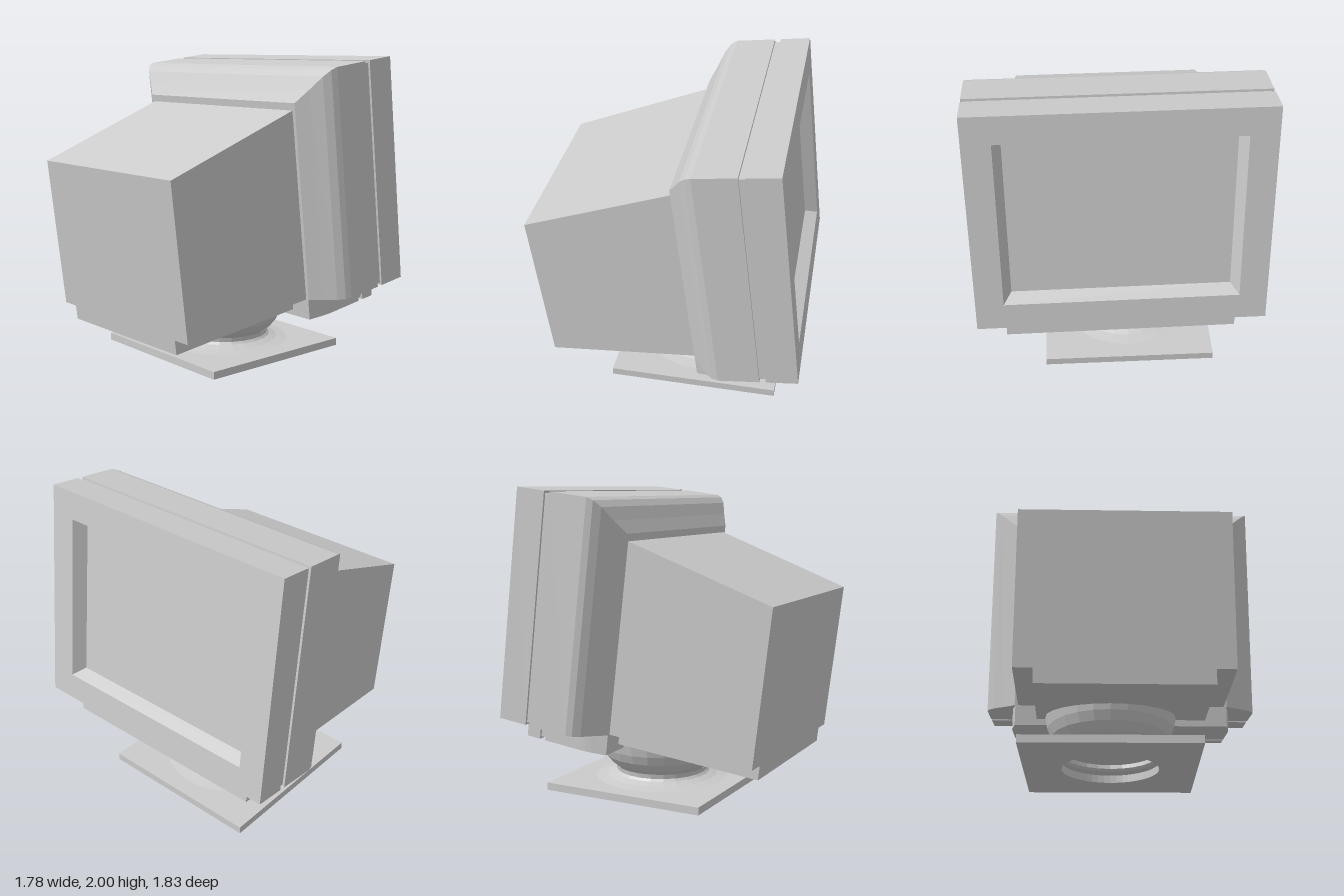
import * as THREE from 'three';

const material = new THREE.MeshStandardMaterial({ color: 0xcccccc, flatShading: true });
const doubleSided = new THREE.MeshStandardMaterial({ color: 0xcccccc, flatShading: true, side: THREE.DoubleSide });

function addMesh(parent, name, geometry, mat = material) {
  const mesh = new THREE.Mesh(geometry, mat);
  mesh.name = name;
  parent.add(mesh);
  return mesh;
}

// Lofts rectangular sections [x, halfWidth, bottom, top] along x and caps both ends.
function loft(sections) {
  const rings = sections.map(([x, w, b, t]) => [[x, b, w], [x, b, -w], [x, t, -w], [x, t, w]]);
  const positions = [];
  const quad = (a, b, c, d) => positions.push(...a, ...b, ...c, ...a, ...c, ...d);
  for (let i = 0; i < rings.length - 1; i++) {
    for (let j = 0; j < 4; j++) {
      const k = (j + 1) % 4;
      quad(rings[i][j], rings[i][k], rings[i + 1][k], rings[i + 1][j]);
    }
  }
  const first = rings[0], last = rings[rings.length - 1];
  quad(first[3], first[2], first[1], first[0]);
  quad(last[0], last[1], last[2], last[3]);
  const geometry = new THREE.BufferGeometry();
  geometry.setAttribute('position', new THREE.Float32BufferAttribute(positions, 3));
  geometry.computeVertexNormals();
  return geometry;
}

export function createModel() {
  const model = new THREE.Group();
  model.name = 'monitor';

  // Tilted, very slightly turned display facing +x
  const display = new THREE.Group();
  display.name = 'display';
  display.rotation.set(0, 0.011, THREE.MathUtils.degToRad(7), 'YZX');
  model.add(display);

  const bottom = 0.424, top = 1.898, half = 0.91;
  const chinBottom = 0.29, chinHalf = 0.735;

  // Rounded rear edge: [x, inset]
  const rounding = [[0.25, 0.2], [0.305, 0.125], [0.355, 0.05], [0.395, 0.014], [0.434, 0], [0.695, 0]];

  addMesh(display, 'rearShell', loft(rounding.map(([x, d]) => [x, half - d, bottom, top - d])));
  addMesh(display, 'seamGroove', loft([
    [0.68, half - 0.015, bottom + 0.015, top - 0.015],
    [0.75, half - 0.015, bottom + 0.015, top - 0.015],
  ]));

  // Front frame with the sloping recess and the screen as its floor
  addMesh(display, 'bezelAndScreen', loft([
    [0.735, half, bottom, top],
    [0.934, half, bottom, top],
    [0.934, 0.735, 0.6, 1.719],
    [0.852, 0.687, 0.643, 1.676],
  ]));

  // Chin below the shell, with the same seam
  addMesh(display, 'chinRear', loft(rounding.map(([x, d]) => [x, chinHalf - d * 0.15, chinBottom, bottom + 0.01])));
  addMesh(display, 'chinGroove', loft([
    [0.68, chinHalf - 0.015, chinBottom + 0.015, bottom + 0.02],
    [0.75, chinHalf - 0.015, chinBottom + 0.015, bottom + 0.02],
  ]));
  addMesh(display, 'chinFront', loft([
    [0.735, chinHalf, chinBottom, bottom + 0.01],
    [0.832, chinHalf, chinBottom, bottom + 0.01],
  ]));

  // Tapered tube housing and the plinth below it
  addMesh(display, 'tubeHousing', loft([
    [-0.717, 0.65, bottom, 1.413],
    [0.257, 0.687, bottom, 1.653],
  ]));
  addMesh(display, 'housingPlinth', loft([
    [-0.717, 0.53, 0.331, bottom + 0.01],
    [0.257, 0.56, 0.331, bottom + 0.01],
  ]));

  // Stand
  const stand = new THREE.Group();
  stand.name = 'stand';
  stand.position.set(0.15, 0, -0.072);
  model.add(stand);

  // Square foot with a round opening
  const s = 0.562;
  const plate = new THREE.Shape([[-s, -s], [s, -s], [s, s], [-s, s]].map(([x, y]) => new THREE.Vector2(x, y)));
  plate.holes.push(new THREE.Path().absarc(0, 0, 0.315, 0, Math.PI * 2, true));
  const foot = new THREE.ExtrudeGeometry(plate, { depth: 0.05, bevelEnabled: false, curveSegments: 24 });
  foot.rotateX(-Math.PI / 2);
  addMesh(stand, 'footPlate', foot);

  // Flared collar and swivel bowl
  const turned = (points) => new THREE.LatheGeometry(points.map(([r, y]) => new THREE.Vector2(r, y)), 24);
  addMesh(stand, 'collar', turned([[0.45, 0.05], [0.375, 0.062], [0.325, 0.08], [0.31, 0.095], [0.315, 0.125]]), doubleSided);
  addMesh(stand, 'swivelBowl', turned([
    [0, 0.12], [0.305, 0.12], [0.345, 0.155], [0.385, 0.205], [0.412, 0.265], [0.427, 0.33], [0.43, 0.375], [0, 0.385],
  ]), doubleSided);

  return model;
}
